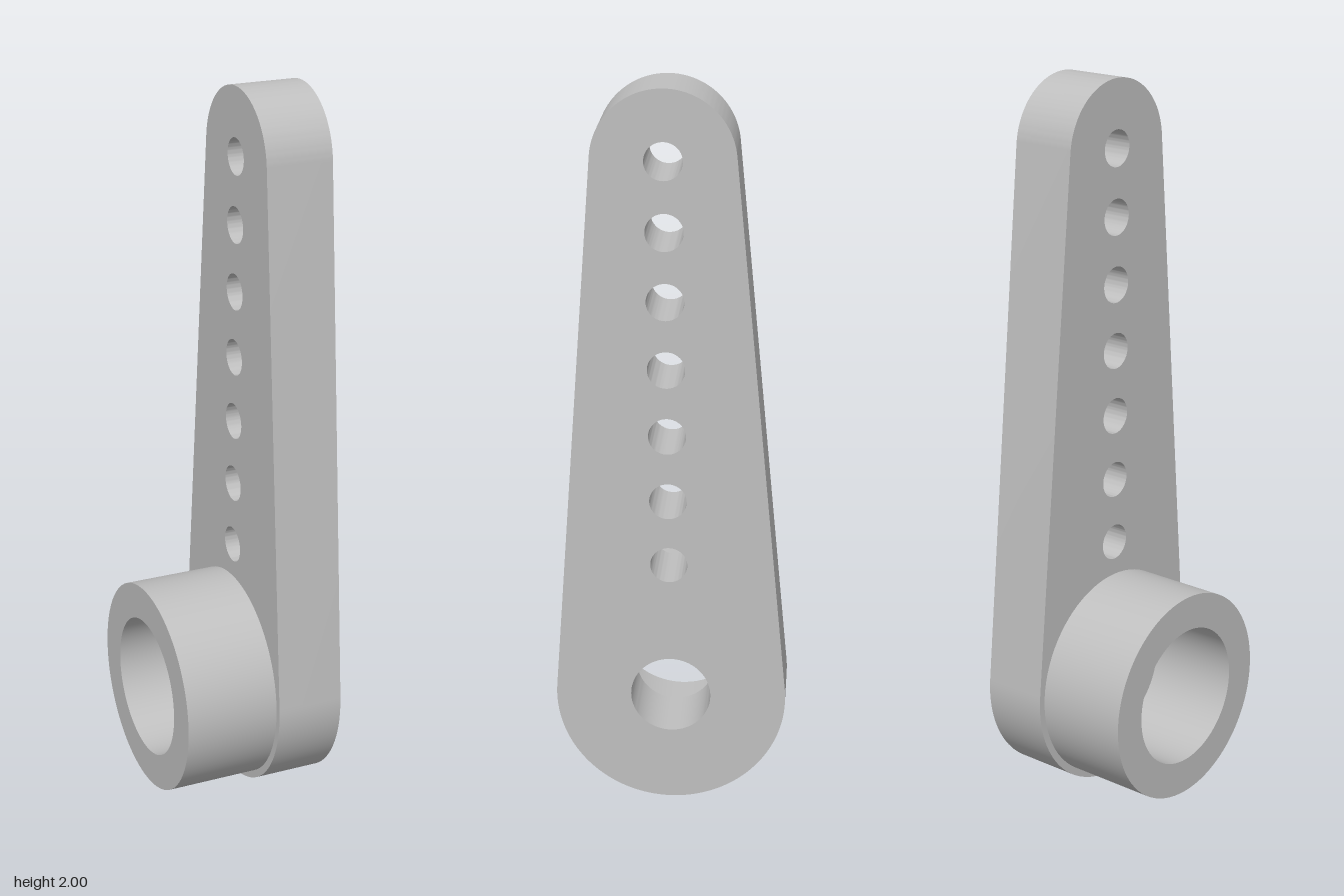
import * as THREE from 'three';
import { toCreasedNormals } from 'three/addons/utils/BufferGeometryUtils.js';

const HUB = { u: 0, y: 0.315, r: 0.314 };
const TIP = { u: -0.018, y: 1.813, r: 0.187 };

const metal = new THREE.MeshStandardMaterial({ color: 0xbfbfbf });
metal.name = 'plain grey';

function addHole(shape, u, y, r) {
  const hole = new THREE.Path();
  hole.absarc(u, y, r, 0, Math.PI * 2, true);
  shape.holes.push(hole);
}

// Extrudes a side outline (u = -z, y) from x0 to x1
function plate(name, shape, x0, x1) {
  const geo = new THREE.ExtrudeGeometry(shape, { depth: x1 - x0, bevelEnabled: false, curveSegments: 40 });
  geo.rotateY(Math.PI / 2);
  geo.translate(x0, 0, 0);
  const mesh = new THREE.Mesh(toCreasedNormals(geo, Math.PI / 6), metal);
  mesh.name = name;
  return mesh;
}

export function createModel() {
  const model = new THREE.Group();
  model.name = 'servoArm';

  // Tapered lever: two arcs joined by their common tangents
  const du = TIP.u - HUB.u, dy = TIP.y - HUB.y;
  const axis = Math.atan2(dy, du);
  const spread = Math.acos((HUB.r - TIP.r) / Math.hypot(du, dy));
  const outline = new THREE.Shape();
  outline.absarc(TIP.u, TIP.y, TIP.r, axis - spread, axis + spread, false);
  outline.absarc(HUB.u, HUB.y, HUB.r, axis + spread, axis - spread + Math.PI * 2, false);
  outline.closePath();

  // Screw hole and a row of linkage holes along the lever's axis
  addHole(outline, HUB.u, 0.318, 0.109);
  for (let i = 0; i < 7; i++) {
    const y = 0.708 + i * 0.1845;
    addHole(outline, du * (y - HUB.y) / dy, y, 0.05);
  }
  model.add(plate('lever', outline, 0.038, 0.225));

  // Hollow hub collar behind the lever
  const ring = new THREE.Shape();
  ring.absarc(0, 0.317, 0.295, 0, Math.PI * 2, false);
  addHole(ring, 0, 0.317, 0.196);
  model.add(plate('hubCollar', ring, -0.225, 0.038));

  return model;
}
